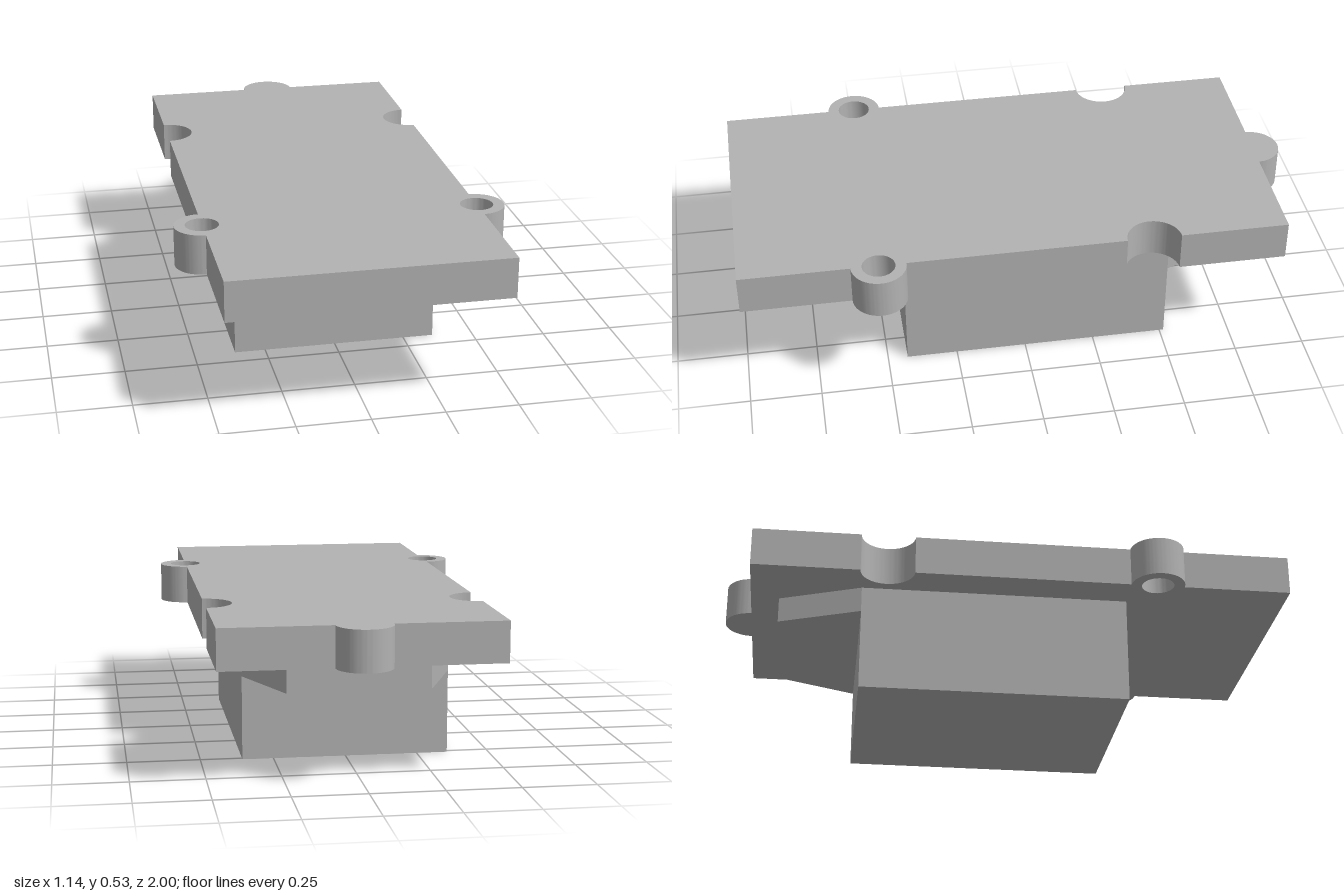
import * as THREE from 'three';
import { toCreasedNormals } from 'three/addons/utils/BufferGeometryUtils.js';

// Extrudes a plan shape (x, -z) upward from y = bottom
function plate(name, shape, bottom, height, material) {
  let geo = new THREE.ExtrudeGeometry(shape, { depth: height, bevelEnabled: false, curveSegments: 24 });
  geo.rotateX(-Math.PI / 2);
  geo.translate(0, bottom, 0);
  geo = toCreasedNormals(geo, 0.6);
  const mesh = new THREE.Mesh(geo, material);
  mesh.name = name;
  return mesh;
}

export function createModel() {
  const group = new THREE.Group();
  group.name = 'moduleBoard';
  const grey = new THREE.MeshStandardMaterial({ color: 0xb2b2b2 });
  grey.name = 'grey';

  const W = 0.475, FRONT = -1, BACK = 0.905, R = 0.095, HOLE = 0.057;
  const EAR = -0.523, NOTCH = 0.43, Q = Math.PI / 2;

  // Board outline with ears, notches and rear tab
  const outline = new THREE.Shape();
  outline.moveTo(-W, FRONT);
  outline.lineTo(W, FRONT);
  outline.absarc(W, EAR, R, -Q, Q, false);
  outline.absarc(W, NOTCH, R, -Q, Q, true);
  outline.lineTo(W, BACK);
  outline.absarc(0, BACK, R, 0, Math.PI, false);
  outline.lineTo(-W, BACK);
  outline.absarc(-W, NOTCH, R, Q, -Q, true);
  outline.absarc(-W, EAR, R, Q, 3 * Q, false);
  outline.closePath();

  // Screw holes in the ears
  for (const side of [-1, 1]) {
    const hole = new THREE.Path();
    hole.absarc(side * W, EAR, HOLE, 0, Math.PI * 2, true);
    outline.holes.push(hole);
  }
  group.add(plate('board', outline, 0.39, 0.14, grey));

  // Connector body below the board
  const body = new THREE.Mesh(new THREE.BoxGeometry(0.714, 0.382, 0.945), grey);
  body.name = 'connectorBody';
  body.position.set(0, 0.191, -0.0425);
  group.add(body);

  // Tapered ledge behind the connector
  const ledge = new THREE.Shape([
    new THREE.Vector2(-0.357, 0.515),
    new THREE.Vector2(0.357, 0.515),
    new THREE.Vector2(0.24, 0.805),
    new THREE.Vector2(-0.24, 0.805),
  ]);
  group.add(plate('connectorLedge', ledge, 0.29, 0.092, grey));

  return group;
}
